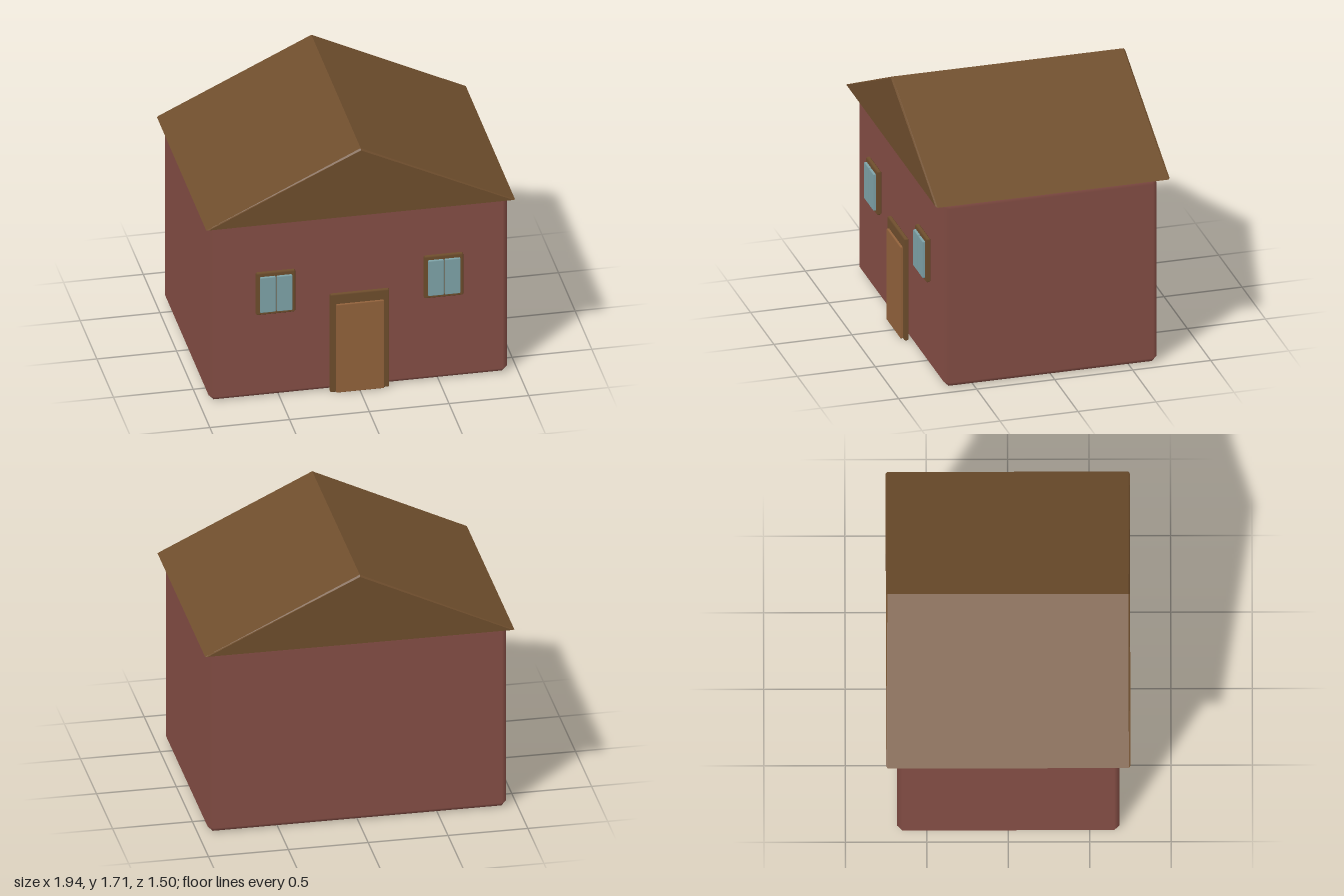
import * as THREE from 'three';
import { ConvexGeometry } from 'three/addons/geometries/ConvexGeometry.js';

const material = (name, color) => {
  const m = new THREE.MeshStandardMaterial({ color });
  m.name = name;
  return m;
};

// Box with chamfered edges; every corner keeps the normal of its main face, so the edges shade softly
function chamferBox(w, h, d, c) {
  const half = [w / 2, h / 2, d / 2];
  const points = [];
  for (let axis = 0; axis < 3; axis++)
    for (const sx of [-1, 1]) for (const sy of [-1, 1]) for (const sz of [-1, 1])
      points.push(new THREE.Vector3(...[sx, sy, sz].map((s, i) => s * (half[i] - (i === axis ? 0 : c)))));
  const geometry = new ConvexGeometry(points);
  const { position, normal } = geometry.attributes;
  for (let i = 0; i < position.count; i++) {
    const p = [position.getX(i), position.getY(i), position.getZ(i)];
    normal.setXYZ(i, ...p.map((v, k) => (Math.abs(v) > half[k] - c / 2 ? Math.sign(v) : 0)));
  }
  return geometry;
}

export function createModel() {
  const house = new THREE.Group();
  house.name = 'house';
  const brick = material('brick red', 0x854e45);
  const brown = material('dark brown wood', 0x6f4e2d);
  const doorWood = material('door wood', 0x93633c);
  const glass = material('window glass', 0x7fa4a9);

  // Block given by its x, y and z ranges
  const block = (name, mat, [x0, x1], [y0, y1], [z0, z1], chamfer) => {
    const mesh = new THREE.Mesh(chamferBox(x1 - x0, y1 - y0, z1 - z0, chamfer), mat);
    mesh.position.set((x0 + x1) / 2, (y0 + y1) / 2, (z0 + z1) / 2);
    mesh.name = name;
    house.add(mesh);
  };

  block('walls', brick, [-0.935, 0.935], [0, 1.232], [-0.683, 0.683], 0.032);

  // Gable roof: triangle with a fine bevel that widens it to the full span
  const gable = new THREE.Shape();
  gable.moveTo(-0.955, 1.24);
  gable.lineTo(0.955, 1.24);
  gable.lineTo(0, 1.694);
  gable.closePath();
  const roof = new THREE.Mesh(new THREE.ExtrudeGeometry(gable, {
    depth: 1.48, bevelEnabled: true, bevelThickness: 0.01, bevelSize: 0.01, bevelSegments: 1,
  }), brown);
  roof.position.z = -0.74;
  roof.name = 'roof';
  house.add(roof);

  // Door
  block('doorFrame', brown, [-0.185, 0.185], [0.002, 0.684], [0.69, 0.719], 0.006);
  block('door', doorWood, [-0.15, 0.15], [0.004, 0.618], [0.705, 0.734], 0.004);

  // Windows, each with two panes
  for (const side of [-1, 1]) {
    const x = side * 0.527;
    block('windowFrame', brown, [x - 0.123, x + 0.123], [0.592, 0.884], [0.688, 0.719], 0.008);
    for (const s of [-1, 1]) {
      const px = x + s * 0.052;
      block('windowPane', glass, [px - 0.049, px + 0.049], [0.616, 0.86], [0.705, 0.736], 0.004);
    }
  }
  return house;
}
